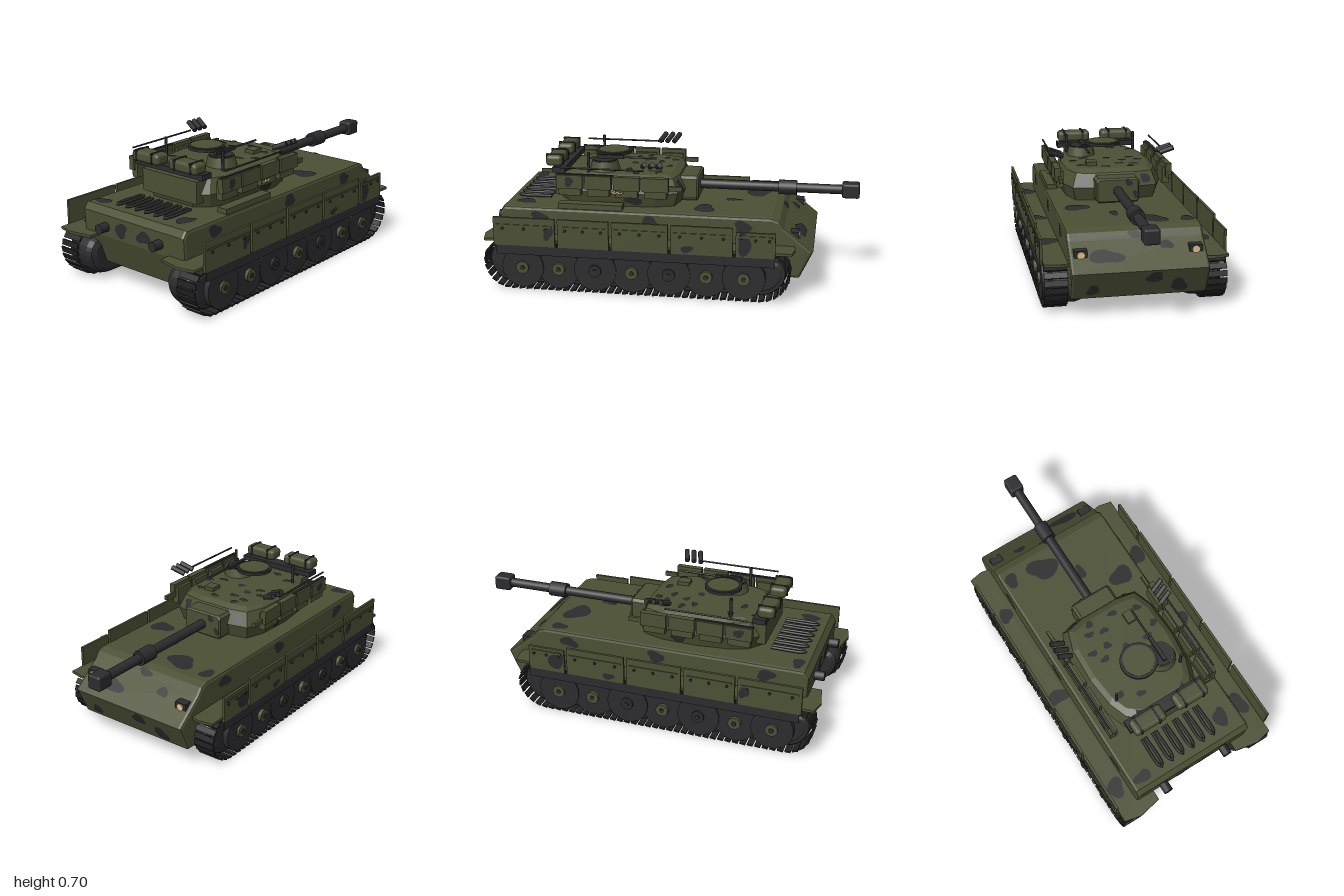
import * as THREE from 'three';
import { RoundedBoxGeometry } from 'three/addons/geometries/RoundedBoxGeometry.js';

const mat = (name, color) => Object.assign(new THREE.MeshStandardMaterial({ color }), { name });

export function createModel() {
  const root = new THREE.Group();
  root.name = 'tank';
  const green = mat('olive green', 0x4b5034);
  const dark = mat('charcoal', 0x2c2c2e);
  dark.side = THREE.DoubleSide;
  const black = mat('track black', 0x222223);
  const tan = mat('lamp tan', 0xe0c28c);

  const add = (name, geo, m, x = 0, y = 0, z = 0, rx = 0, ry = 0, rz = 0) => {
    const mesh = new THREE.Mesh(geo, m);
    mesh.name = name;
    mesh.position.set(x, y, z);
    mesh.rotation.set(rx, ry, rz);
    root.add(mesh);
    return mesh;
  };
  // box given by its limits on each axis
  const box = (name, m, x0, x1, y0, y1, z0, z1) =>
    add(name, new THREE.BoxGeometry(x1 - x0, y1 - y0, z1 - z0), m, (x0 + x1) / 2, (y0 + y1) / 2, (z0 + z1) / 2);
  const cyl = (r, h, n = 20, r2 = r) => new THREE.CylinderGeometry(r, r2, h, n);
  const poly = pts => new THREE.Shape(pts.map(p => new THREE.Vector2(...p)));
  const Q = Math.PI / 2;

  // Hull
  const hull = new THREE.ExtrudeGeometry(poly([
    [-0.86, 0.10], [0.70, 0.10], [0.77, 0.25], [0.615, 0.375], [0.59, 0.41], [0.55, 0.425], [-0.90, 0.425], [-0.925, 0.39], [-0.92, 0.27],
  ]), { depth: 0.68, bevelSize: 0.016, bevelThickness: 0.015, bevelOffset: -0.016, bevelSegments: 2 });
  add('hull', hull, green, 0, 0, -0.34);
  box('deckBox', green, -0.6, -0.25, 0.42, 0.452, 0.285, 0.345);

  // Track loop outline
  const loop = new THREE.Shape();
  loop.moveTo(-0.84, 0.006);
  loop.lineTo(0.5, 0.006);
  loop.bezierCurveTo(0.58, 0.006, 0.655, 0.07, 0.655, 0.15);
  loop.bezierCurveTo(0.65, 0.21, 0.62, 0.25, 0.56, 0.252);
  loop.lineTo(-0.88, 0.252);
  loop.bezierCurveTo(-0.95, 0.25, -0.98, 0.21, -0.98, 0.15);
  loop.bezierCurveTo(-0.97, 0.07, -0.92, 0.006, -0.84, 0.006);
  const casing = new THREE.ExtrudeGeometry(loop, {
    depth: 0.09, bevelSize: 0.035, bevelThickness: 0.045, bevelOffset: -0.05, bevelSegments: 2, curveSegments: 6,
  });
  const outer = new THREE.ExtrudeGeometry(loop, {
    depth: 0.07, bevelSize: 0.005, bevelThickness: 0.005, bevelOffset: -0.024, bevelSegments: 1, curveSegments: 8,
  });
  const linkPts = loop.getSpacedPoints(88);
  const linkGeo = new THREE.BoxGeometry(0.031, 0.009, 0.12);
  const skirts = [[-0.92, -0.585], [-0.57, -0.295], [-0.28, 0.02], [0.035, 0.36], [0.375, 0.58]];
  const fenderGeo = new THREE.ExtrudeGeometry(poly([
    [-0.975, 0.25], [-0.90, 0.25], [-0.88, 0.35], [0.67, 0.35], [0.68, 0.40], [0.665, 0.478], [-0.98, 0.47], [-1.0, 0.38],
  ]), { depth: 0.014, bevelEnabled: false });
  fenderGeo.rotateX(Q);

  for (const s of [-1, 1]) {
    const zBox = (name, m, x0, x1, y0, y1, z0, z1) =>
      box(name, m, x0, x1, y0, y1, Math.min(s * z0, s * z1), Math.max(s * z0, s * z1));

    // Running gear
    add('trackCasing', casing, dark, 0, 0, s * 0.352 - 0.045);
    add('outerCasing', outer, dark, 0, 0, s * 0.395 - 0.035);
    for (let i = 0; i < 88; i++) {
      const a = linkPts[i], b = linkPts[i + 1];
      add('trackLink', linkGeo, black, (a.x + b.x) / 2, (a.y + b.y) / 2, s * 0.415, 0, 0,
        Math.atan2(b.y - a.y, b.x - a.x) + 0.16);
    }
    for (let i = 0; i < 7; i++) {
      const x = -0.77 + i * 0.198;
      add('roadWheel', cyl(0.114, 0.03, 24), dark, x, 0.125, s * (i % 2 ? 0.45 : 0.457), Q);
      add('wheelHub', cyl(0.034, 0.02, 16), i === 2 || i === 4 ? dark : green, x, 0.125, s * 0.475, Q);
      add('hubCap', cyl(0.013, 0.008, 10), dark, x, 0.125, s * 0.487, Q);
    }

    // Fenders and side skirts
    const f = add('fender', fenderGeo, green, 0, s > 0 ? 0.278 : 0.264, 0);
    if (s < 0) f.rotation.x = Math.PI;
    zBox('rubberSkirt', dark, -0.91, 0.58, 0.20, 0.25, 0.481, 0.487);
    for (const [x0, x1] of skirts) {
      zBox('skirtPanel', green, x0, x1, 0.25, x1 > 0.5 ? 0.385 : 0.405, 0.474, 0.488);
      zBox('skirtRail', green, x0 + 0.015, x1 - 0.015, 0.358, 0.368, 0.488, 0.493);
      for (const t of [0.15, 0.5, 0.85])
        add('skirtBolt', cyl(0.008, 0.008, 8), dark, x0 + (x1 - x0) * t, 0.345, s * 0.491, Q);
    }

    // Headlights and exhausts
    zBox('headlightHousing', dark, 0.62, 0.693, 0.302, 0.348, 0.262, 0.33);
    add('headlight', cyl(0.019, 0.006, 16), tan, 0.695, 0.325, s * 0.295, 0, 0, Q);
    add('exhaust', cyl(0.026, 0.07, 14), dark, -0.94, 0.325, s * 0.19, 0, 0, Q);

    // Turret side armour, rails, rods and smoke tubes
    for (const x0 of [-0.61, -0.455, -0.3, -0.145]) {
      zBox('sideArmourBlock', green, x0, x0 + 0.143, 0.53, 0.605, 0.297, 0.33);
      zBox('sideArmourFoot', green, x0 + 0.01, x0 + 0.13, 0.49, 0.585, 0.28, 0.318);
    }
    zBox('armourTail', green, 0, 0.07, 0.535, 0.56, 0.295, 0.312);
    zBox('sideRail', dark, -0.61, -0.3, 0.603, 0.61, 0.304, 0.318);
    add('rod', cyl(0.005, 0.45, 8), dark, -0.36, 0.645, s * 0.325, 0, 0, Q);
    for (let i = 0; i < 3; i++)
      add('smokeTube', cyl(0.014, 0.08, 12), dark, -0.135 + i * 0.04, 0.672, s * 0.313, s * 1.17, 0, -0.3);
    add('antennaPost', cyl(0.008, 0.11, 10), dark, -0.46, 0.645, s * 0.2);

    // Rear stowage
    add('stowageBox', new RoundedBoxGeometry(0.09, 0.06, 0.19, 3, 0.02), green, -0.65, 0.65, s * 0.13);
    for (const z of [0.075, 0.185]) zBox('stowageStrap', dark, -0.698, -0.602, 0.625, 0.683, z, z + 0.01);
    zBox('rackArm', dark, -0.62, -0.48, 0.575, 0.592, 0.12, 0.145);
  }
  box('stowageRack', dark, -0.655, -0.585, 0.59, 0.62, -0.235, 0.235);
  box('turretBustle', green, -0.65, -0.5, 0.455, 0.575, -0.19, 0.19);

  // Engine deck pipes
  for (let i = 0; i < 6; i++) {
    const z = -0.165 + i * 0.066;
    const pipe = new THREE.CatmullRomCurve3([
      [-0.68, 0.437, z - 0.011], [-0.84, 0.437, z - 0.011], [-0.86, 0.437, z], [-0.84, 0.437, z + 0.011], [-0.68, 0.437, z + 0.011],
    ].map(p => new THREE.Vector3(...p)));
    add('enginePipe', new THREE.TubeGeometry(pipe, 20, 0.008, 8), dark);
  }

  // Turret body lofted from one outline
  const half = [[0.06, 0.12], [0.035, 0.235], [-0.08, 0.275], [-0.3, 0.285], [-0.48, 0.265], [-0.59, 0.225], [-0.65, 0.15]];
  const outline = [...half, ...half.map(([x, z]) => [x, -z]).reverse()];
  const rings = [[0.42, 0.92], [0.50, 1], [0.575, 0.9], [0.593, 0.8]].map(([y, k]) =>
    outline.map(([x, z]) => [-0.27 + (x + 0.27) * k, y, z * k]));
  const pos = [];
  outline.forEach((_, i) => {
    const j = (i + 1) % outline.length;
    for (let r = 0; r < 3; r++) {
      const [a, b, c, d] = [rings[r][i], rings[r][j], rings[r + 1][i], rings[r + 1][j]];
      pos.push(...a, ...c, ...b, ...b, ...c, ...d);
    }
    pos.push(-0.27, 0.596, 0, ...rings[3][j], ...rings[3][i]);
  });
  const turretGeo = new THREE.BufferGeometry();
  turretGeo.setAttribute('position', new THREE.Float32BufferAttribute(pos, 3));
  turretGeo.computeVertexNormals();
  add('turret', turretGeo, green);

  // Mantlet and gun
  const mantlet = new THREE.ExtrudeGeometry(poly([[-0.11, 0.43], [0.11, 0.43], [0.12, 0.45], [0.12, 0.55], [0.105, 0.565], [-0.105, 0.565], [-0.12, 0.55], [-0.12, 0.45]]),
    { depth: 0.12, bevelSize: 0.008, bevelThickness: 0.01, bevelOffset: -0.008, bevelSegments: 1 });
  add('mantlet', mantlet, green, 0, 0, 0, 0, Q);
  add('gunBarrel', cyl(0.026, 0.84), dark, 0.51, 0.495, 0, 0, 0, Q);
  add('gunSleeve', cyl(0.041, 0.1, 12), dark, 0.61, 0.495, 0, 0, 0, Q);
  add('muzzle', new RoundedBoxGeometry(0.095, 0.08, 0.08, 2, 0.012), dark, 0.9525, 0.495, 0);

  // Roof fittings
  add('hatchRim', cyl(0.1, 0.016, 28), dark, -0.36, 0.664, 0);
  add('hatchLid', cyl(0.086, 0.008, 28), green, -0.36, 0.672, 0);
  add('cupola', cyl(0.07, 0.06, 18, 0.085), green, -0.385, 0.615, 0.125);
  add('cupolaLid', cyl(0.064, 0.008, 18), dark, -0.385, 0.647, 0.125);
  box('machineGun', dark, -0.43, -0.28, 0.652, 0.672, 0.112, 0.132);
  add('machineGunBarrel', cyl(0.006, 0.2, 8), dark, -0.2, 0.662, 0.122, 0, 0, Q);
  box('periscope', green, -0.14, -0.075, 0.585, 0.615, 0.08, 0.14);
  for (const x of [-0.29, -0.262])
    add('towChain', new THREE.TorusGeometry(0.014, 0.005, 6, 14, Math.PI), tan, x, 0.53, 0.335, 0, 0, Math.PI);

  // Camouflage blotches: position, normal, width, height
  let seed = 7;
  const rnd = () => (seed = (seed * 16807) % 2147483647) / 2147483647;
  const blotch = (x, y, z, n, w, h) => {
    const p1 = rnd() * 6, p2 = rnd() * 6, pts = [];
    for (let i = 0; i < 20; i++) {
      const t = i / 20 * Math.PI * 2, r = 1 + 0.17 * Math.sin(2 * t + p1) + 0.13 * Math.sin(3 * t + p2);
      pts.push([Math.cos(t) * r * w / 2, Math.sin(t) * r * h / 2]);
    }
    const m = add('camouflageBlotch', new THREE.ShapeGeometry(poly(pts)), dark);
    const normal = new THREE.Vector3(...n).normalize();
    m.position.set(x, y, z).addScaledVector(normal, 0.003);
    m.lookAt(m.position.clone().add(normal));
  };
  const up = [0, 1, 0];
  // deck and fenders
  for (const [x, z, w, h] of [[0.45, -0.11, 0.13, 0.17], [0.32, 0.06, 0.08, 0.05], [0.18, 0.24, 0.12, 0.12],
    [0.48, -0.3, 0.08, 0.08], [-0.85, -0.28, 0.07, 0.09], [-0.8, 0.25, 0.12, 0.07]])
    blotch(x, 0.425, z, up, w, h);
  for (const [x, z, w, h] of [[-0.2, -0.415, 0.09, 0.12], [-0.8, -0.415, 0.1, 0.1], [0.37, -0.415, 0.1, 0.07],
    [0.29, 0.415, 0.12, 0.1], [-0.17, 0.415, 0.1, 0.09], [-0.76, 0.41, 0.12, 0.1]])
    blotch(x, 0.278, z, up, w, h);
  // turret roof
  for (const [x, z] of [[-0.18, -0.17], [-0.24, -0.13], [-0.08, -0.13], [-0.03, -0.1], [-0.1, -0.05], [-0.18, -0.08],
    [-0.24, 0], [-0.04, 0.04], [-0.25, 0.13], [-0.08, 0.17], [-0.45, -0.17], [-0.2, 0.2], [-0.5, -0.07]])
    blotch(x, 0.595, z, up, 0.035, 0.048);
  // turret face, mantlet, glacis and nose
  for (const s of [-1, 1]) blotch(0.03, 0.538, s * 0.17, [0.85, 0.5, s * 0.2], 0.05, 0.07);
  for (const [y, z] of [[0.475, -0.1], [0.54, -0.06]]) blotch(0.13, y, z, [1, 0, 0], 0.035, 0.04);
  for (const [y, z, w, h] of [[0.31, 0.17, 0.16, 0.09], [0.345, -0.15, 0.06, 0.06]])
    blotch(0.77 - (y - 0.25) * 1.24, y, z, [0.125, 0.155, 0], w, h);
  blotch(0.603, 0.392, 0, [0.035, 0.025, 0], 0.09, 0.04);
  for (const [y, z, w, h] of [[0.15, 0.24, 0.07, 0.06], [0.21, -0.07, 0.1, 0.06], [0.155, -0.2, 0.09, 0.08]])
    blotch(0.70 + (y - 0.1) * 0.467, y, z, [0.15, -0.07, 0], w, h);
  // belly
  for (const [x, z] of [[0.55, 0.1], [0.35, -0.12], [0.1, 0.08], [-0.2, -0.08], [-0.45, 0.12], [-0.7, -0.1]])
    blotch(x, 0.1, z, [0, -1, 0], 0.1, 0.09);
  // skirts, hull sides, turret sides and rear plate
  for (const s of [-1, 1]) {
    for (const [x, y, w, h] of [[0.42, 0.32, 0.08, 0.11], [-0.62, 0.33, 0.05, 0.08], [0.12, 0.28, 0.06, 0.04]])
      blotch(x, y, s * 0.488, [0, 0, s], w, h);
    for (const x of [-0.7, -0.1, 0.4]) blotch(x, 0.37, s * 0.355, [0, 0, s], 0.1, 0.06);
    blotch(-0.54, 0.57, s * 0.33, [0, 0, s], 0.05, 0.05);
    blotch(-0.2, 0.46, s * 0.27, [s * 0.04, -0.28, s], 0.09, 0.05);
    blotch(-0.922, 0.33, s * 0.08, [-1, 0, 0], 0.09, 0.07);
  }
  return root;
}
